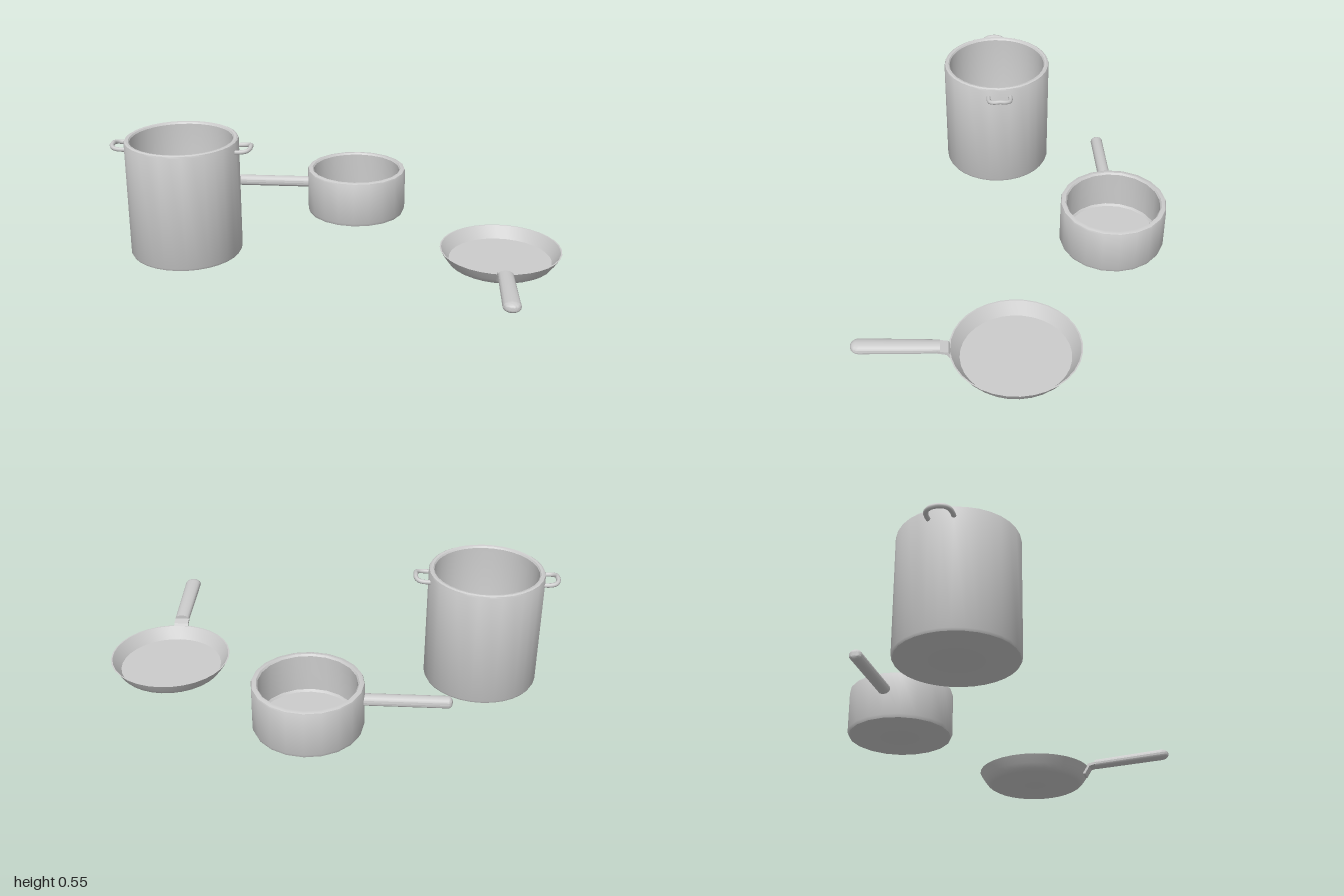
import * as THREE from 'three';
import { toCreasedNormals } from 'three/addons/utils/BufferGeometryUtils.js';

const material = new THREE.MeshStandardMaterial({ color: 0xcccccc, side: THREE.DoubleSide });

function part(parent, name, geometry, x = 0, y = 0, z = 0) {
  const mesh = new THREE.Mesh(geometry, material);
  mesh.name = name;
  mesh.position.set(x, y, z);
  parent.add(mesh);
  return mesh;
}

// Revolved vessel: profile runs from the outer base centre, over the rim, to the inner floor centre
function vessel(profile, sides) {
  const points = profile.map(([r, y]) => new THREE.Vector2(r, y));
  return toCreasedNormals(new THREE.LatheGeometry(points, sides), 0.6);
}

// Round-ended grip along +y, flattened in depth
function grip(length, startRadius, endRadius, flatten, dome) {
  const points = [new THREE.Vector2(0, 0), new THREE.Vector2(startRadius, 0)];
  for (let i = 0; i <= 6; i++) {
    const a = (i / 6) * Math.PI / 2;
    points.push(new THREE.Vector2(endRadius * Math.cos(a), length - dome + dome * Math.sin(a)));
  }
  return toCreasedNormals(new THREE.LatheGeometry(points, 16).scale(1, 1, flatten), 0.7);
}

function createStockPot() {
  const group = new THREE.Group();
  group.name = 'stockPot';
  part(group, 'stockPotBody', vessel([
    [0, 0.02], [0.235, 0.02], [0.245, 0.024], [0.25, 0.034], [0.25, 0.54], [0.247, 0.548], [0.24, 0.552],
    [0.23, 0.55], [0.225, 0.543], [0.222, 0.08], [0.215, 0.06], [0.2, 0.05], [0, 0.05],
  ], 32));

  // Loop handles on both sides
  for (const side of [-1, 1]) {
    const path = [
      [0.235, 0.506, -0.05], [0.275, 0.508, -0.05], [0.293, 0.511, -0.043], [0.304, 0.515, -0.025],
      [0.305, 0.518, 0],
      [0.304, 0.515, 0.025], [0.293, 0.511, 0.043], [0.275, 0.508, 0.05], [0.235, 0.506, 0.05],
    ].map(([x, y, z]) => new THREE.Vector3(side * x, y, z));
    part(group, side > 0 ? 'leftLoopHandle' : 'rightLoopHandle',
      new THREE.TubeGeometry(new THREE.CatmullRomCurve3(path), 32, 0.01, 8));
  }
  group.position.set(-0.685, 0, 0.045);
  return group;
}

function createSaucepan() {
  const group = new THREE.Group();
  group.name = 'saucepan';
  part(group, 'saucepanBody', vessel([
    [0, 0.04], [0.215, 0.04], [0.229, 0.046], [0.235, 0.06], [0.235, 0.25], [0.232, 0.257], [0.225, 0.26],
    [0.213, 0.26], [0.207, 0.252], [0.207, 0.085], [0.2, 0.075], [0, 0.075],
  ], 20));
  const handle = part(group, 'saucepanHandle', grip(0.375, 0.025, 0.025, 1.12, 0.018), -0.22, 0.18, 0);
  handle.rotation.z = Math.PI / 2;
  group.position.set(0.055, 0, -0.433);
  return group;
}

function createFryingPan() {
  const group = new THREE.Group();
  group.name = 'fryingPan';
  part(group, 'fryingPanBody', vessel([
    [0, 0], [0.215, 0], [0.232, 0.01], [0.247, 0.03], [0.27, 0.067], [0.264, 0.067],
    [0.241, 0.033], [0.228, 0.014], [0, 0.014],
  ], 32));

  // Bent bracket joining the pan wall to the grip
  const bracket = new THREE.Shape([
    [0.242, 0.03], [0.256, 0.028], [0.278, 0.066], [0.318, 0.076], [0.318, 0.088], [0.27, 0.078],
  ].map(([z, y]) => new THREE.Vector2(z, y)));
  const strap = new THREE.ExtrudeGeometry(bracket, { depth: 0.066, bevelEnabled: false });
  strap.translate(0, 0, -0.033).rotateY(-Math.PI / 2);
  part(group, 'fryingPanBracket', strap);

  const handle = part(group, 'fryingPanGrip', grip(0.357, 0.034, 0.038, 0.62, 0.035), 0, 0.082, 0.304);
  handle.rotation.x = Math.PI / 2 - 0.065;
  group.position.set(0.725, 0, 0.043);
  return group;
}

export function createModel() {
  const model = new THREE.Group();
  model.name = 'cookwareSet';
  model.add(createStockPot(), createSaucepan(), createFryingPan());
  return model;
}
